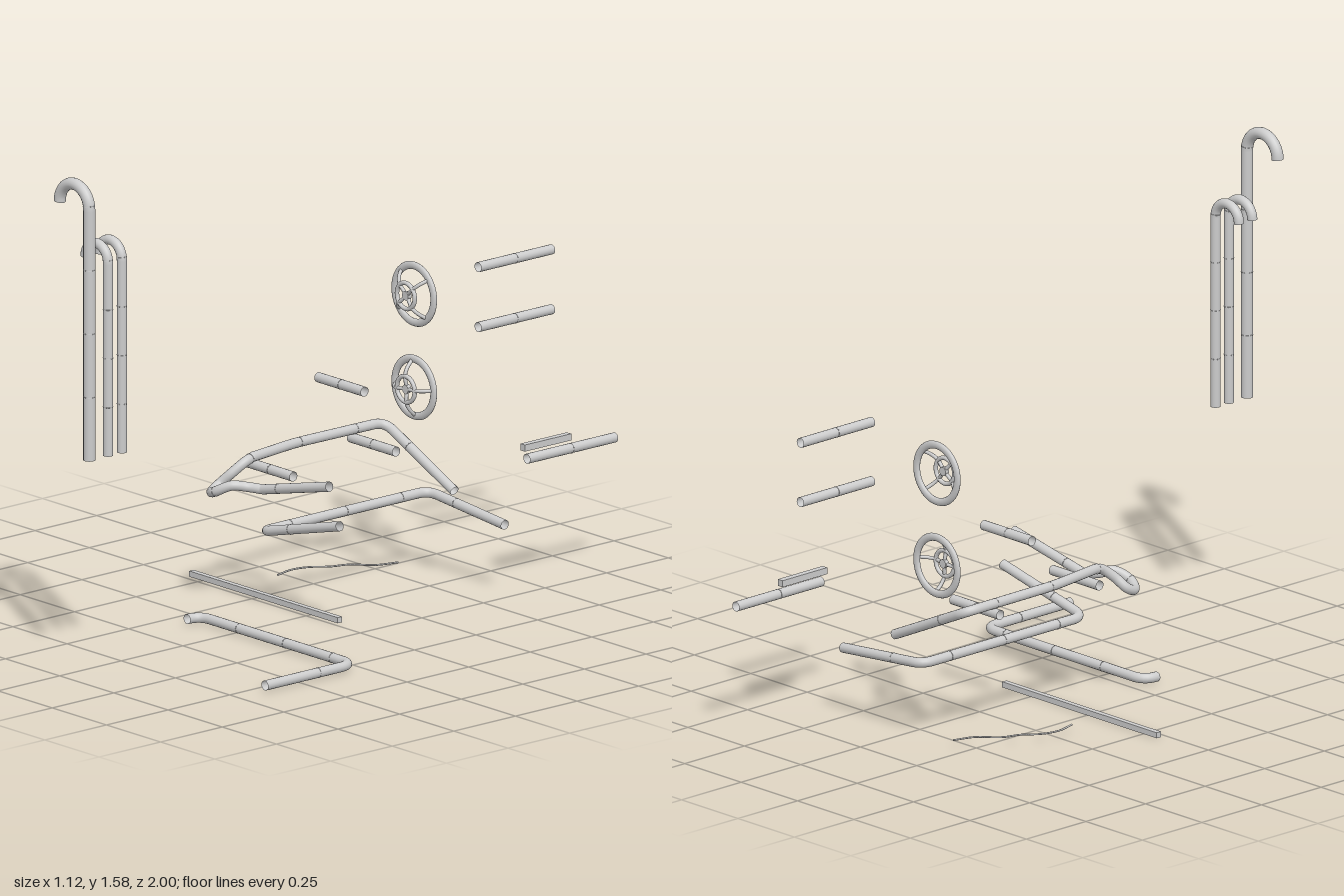
import * as THREE from 'three';

const V = (x, y, z) => new THREE.Vector3(x, y, z);
const mat = new THREE.MeshStandardMaterial({ color: 0xcccccc, side: THREE.DoubleSide });

function addMesh(parent, name, geometry) {
  const mesh = new THREE.Mesh(geometry, mat);
  mesh.name = name;
  parent.add(mesh);
  return mesh;
}

// Path of straight runs through the points, with corners rounded off
function roundedPath(points, radius) {
  const path = new THREE.CurvePath();
  let from = points[0];
  for (let i = 1; i < points.length - 1; i++) {
    const c = points[i];
    const a = c.clone().add(points[i - 1].clone().sub(c).setLength(radius));
    const b = c.clone().add(points[i + 1].clone().sub(c).setLength(radius));
    path.add(new THREE.LineCurve3(from, a));
    path.add(new THREE.QuadraticBezierCurve3(a, c, b));
    from = b;
  }
  path.add(new THREE.LineCurve3(from, points[points.length - 1]));
  return path;
}

// Hollow pipe with thin seams at regular intervals
function addPipe(parent, name, path, r, seams = 3, segments = 120) {
  const g = new THREE.Group();
  g.name = name;
  addMesh(g, name + 'Tube', new THREE.TubeGeometry(path, segments, r, 16, false));
  for (let i = 1; i <= seams; i++) {
    const t = i / (seams + 1);
    const seam = addMesh(g, name + 'Seam', new THREE.TorusGeometry(r, 0.001, 6, 16));
    seam.position.copy(path.getPointAt(t));
    seam.quaternion.setFromUnitVectors(V(0, 0, 1), path.getTangentAt(t));
  }
  parent.add(g);
}

// Upright pipe that hooks over to -x
function addCane(parent, name, x, z, top, hook, r) {
  const arc = [];
  for (let i = 0; i <= 12; i++) {
    const a = (i / 12) * Math.PI;
    arc.push(V(x - hook + hook * Math.cos(a), top + hook * Math.sin(a), z));
  }
  const path = new THREE.CurvePath();
  path.add(new THREE.LineCurve3(V(x, 0.706, z), arc[0]));
  path.add(new THREE.CatmullRomCurve3(arc));
  addPipe(parent, name, path, r, 4, 130);
}

// Hand wheel: flattened rim at the back, smaller hub ring in front, sloping spokes
function addWheel(parent, y, turn) {
  const g = new THREE.Group();
  g.name = 'handWheel';
  addMesh(g, 'rim', new THREE.TorusGeometry(0.09, 0.0125, 12, 48)).scale.z = 0.65;
  addMesh(g, 'hubRing', new THREE.TorusGeometry(0.041, 0.007, 10, 36)).position.z = 0.034;
  for (let i = 0; i < 4; i++) {
    const a = turn + (i * Math.PI) / 2;
    const at = (rad, z) => V(rad * Math.cos(a), rad * Math.sin(a), z);
    const curve = new THREE.CatmullRomCurve3([at(0.002, 0.03), at(0.043, 0.034), at(0.065, 0.024), at(0.089, 0)]);
    addMesh(g, 'spoke', new THREE.TubeGeometry(curve, 16, 0.006, 8, false));
  }
  const hub = addMesh(g, 'hub', new THREE.CylinderGeometry(0.014, 0.014, 0.014, 16));
  hub.rotation.x = Math.PI / 2;
  hub.position.z = 0.03;
  g.position.set(-0.158, y, -0.578);
  parent.add(g);
}

export function createModel() {
  const model = new THREE.Group();
  model.name = 'pipeSet';

  // Hooked vent pipes
  addCane(model, 'tallHookedPipe', 0.114, 0.98, 1.499, 0.068, 0.0185);
  for (const z of [0.903, 0.847]) addCane(model, 'shortHookedPipe', 0.113, z, 1.316, 0.052, 0.0155);

  // Hand wheels
  addWheel(model, 0.878, 0.72);
  addWheel(model, 0.582, 0.08);

  // Straight open pipes
  const straight = [
    ['rearPipe', V(0.071, 1.001, -0.635), V(0.071, 1.001, -0.935)],
    ['rearPipe', V(0.071, 0.811, -0.635), V(0.071, 0.811, -0.935)],
    ['lowRearPipe', V(0.288, 0.439, -0.642), V(0.288, 0.439, -1)],
    ['crossPipe', V(-0.299, 0.634, -0.312), V(-0.084, 0.634, -0.312)],
    ['crossPipe', V(-0.288, 0.422, -0.435), V(-0.078, 0.422, -0.435)],
    ['crossPipe', V(-0.288, 0.422, -0.018), V(-0.078, 0.422, -0.018)],
  ];
  for (const [name, a, b] of straight) addPipe(model, name, new THREE.LineCurve3(a, b), 0.0155, 1, 2);

  // Square bars
  addMesh(model, 'shortSquareBar', new THREE.BoxGeometry(0.021, 0.021, 0.188)).position.set(0.281, 0.475, -0.726);
  addMesh(model, 'floorSquareBar', new THREE.BoxGeometry(0.685, 0.018, 0.018)).position.set(-0.217, 0.01, -0.027);

  // Bent pipe lying on the floor
  addPipe(model, 'floorPipe', roundedPath([
    V(-0.163, 0.02, 0.34), V(-0.163, 0.02, 0.288), V(0.543, 0.02, 0.288), V(0.543, 0.02, 0.645),
  ], 0.05), 0.0155, 4);

  // Lower frame pipe
  addPipe(model, 'lowerFramePipe', roundedPath([
    V(0.24, 0.228, -0.596), V(-0.113, 0.26, -0.596), V(-0.113, 0.26, 0.08), V(0.232, 0.348, 0.067),
  ], 0.045), 0.0155, 5, 160);

  // Upper frame pipe: corner, long run, then a twisting bend into the front arm
  const upper = roundedPath([
    V(0.057, 0.304, -0.552), V(-0.266, 0.454, -0.552), V(-0.266, 0.456, -0.19), V(-0.236, 0.456, 0.01),
  ], 0.045);
  upper.add(new THREE.CatmullRomCurve3([
    V(-0.236, 0.456, 0.01), V(-0.232, 0.447, 0.045), V(-0.248, 0.417, 0.082), V(-0.274, 0.382, 0.11),
    V(-0.266, 0.367, 0.148), V(-0.22, 0.381, 0.175), V(-0.173, 0.405, 0.15), V(-0.143, 0.399, 0.108),
    V(-0.103, 0.396, 0.085),
  ]));
  upper.add(new THREE.LineCurve3(V(-0.103, 0.396, 0.085), V(0.189, 0.465, 0.071)));
  addPipe(model, 'upperFramePipe', upper, 0.0155, 6, 240);

  // Loose wire on the floor
  const wire = new THREE.CatmullRomCurve3([
    V(-0.197, 0.024, -0.547), V(-0.221, 0.024, -0.476), V(-0.277, 0.024, -0.42), V(-0.3, 0.024, -0.36),
    V(-0.337, 0.024, -0.31), V(-0.351, 0.024, -0.25), V(-0.335, 0.024, -0.18),
  ]);
  addMesh(model, 'wire', new THREE.TubeGeometry(wire, 60, 0.003, 8, false));

  return model;
}
